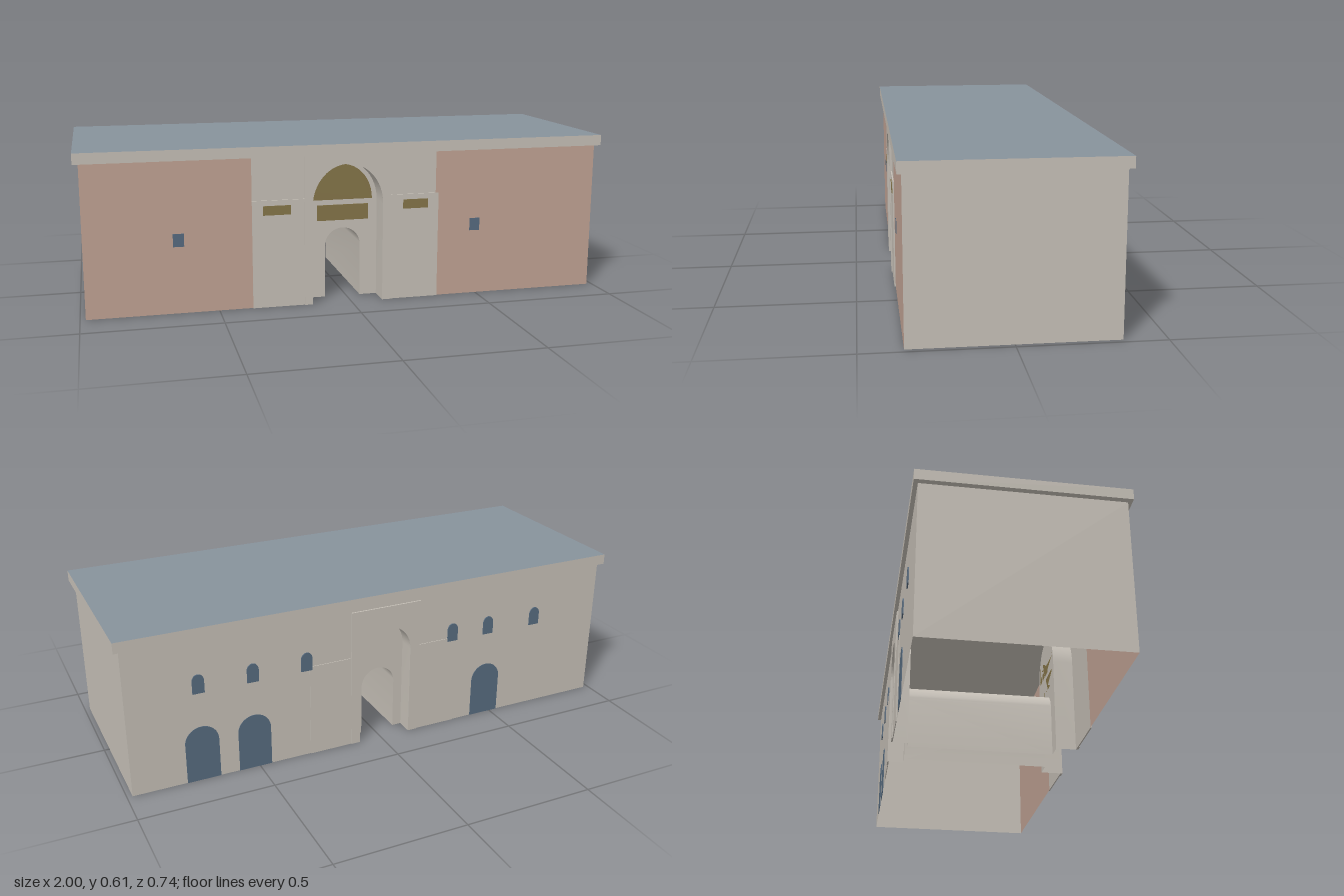
import * as THREE from 'three';
import { toCreasedNormals } from 'three/addons/utils/BufferGeometryUtils.js';

const mat = (name, color) =>
  new THREE.MeshStandardMaterial({ name, color, side: THREE.DoubleSide });

export function createModel() {
  const stone = mat('stone', 0xc4beb5);
  const terracotta = mat('terracotta', 0xbfa192);
  const gold = mat('gold', 0x847448);
  const glass = mat('blue glass', 0x566a7e);
  const slate = mat('slate', 0x87929b);

  const model = new THREE.Group();
  model.name = 'gatehouse';
  const add = (name, geometry, material, x = 0, y = 0, z = 0) => {
    const mesh = new THREE.Mesh(geometry, material);
    mesh.name = name;
    mesh.position.set(x, y, z);
    model.add(mesh);
    return mesh;
  };

  const H = 0.565, HX = 0.98, Z = 0.353, CX = -0.015;

  // Arch outline, from the left foot over the crown to the right foot
  const arch = (cx, r, spring, top, base = 0, n = 24) => {
    const pts = base < spring ? [new THREE.Vector2(cx - r, base)] : [];
    for (let i = 0; i <= n; i++) {
      const a = Math.PI * (1 - i / n);
      pts.push(new THREE.Vector2(cx + r * Math.cos(a), spring + (top - spring) * Math.sin(a)));
    }
    if (base < spring) pts.push(new THREE.Vector2(cx + r, base));
    return pts;
  };
  // Wall outline with an arch cut up from the ground
  const archedWall = (x0, x1, top, opening) => new THREE.Shape([
    new THREE.Vector2(x0, 0), ...opening,
    new THREE.Vector2(x1, 0), new THREE.Vector2(x1, top), new THREE.Vector2(x0, top),
  ]);
  // Open surface sweeping an arch outline from z0 to z1
  const reveal = (pts, z0, z1) => {
    const pos = [], idx = [];
    pts.forEach((p, i) => {
      pos.push(p.x, p.y, z0, p.x, p.y, z1);
      if (i) {
        const a = 2 * (i - 1);
        idx.push(a, a + 1, a + 2, a + 1, a + 3, a + 2);
      }
    });
    const g = new THREE.BufferGeometry();
    g.setAttribute('position', new THREE.Float32BufferAttribute(pos, 3));
    g.setIndex(idx);
    g.computeVertexNormals();
    return toCreasedNormals(g, 0.6);
  };
  const sheet = (name, shape, material, z) =>
    add(name, new THREE.ShapeGeometry(shape), material, 0, 0, z);
  const plate = (name, shape, material, z, depth) =>
    add(name, new THREE.ExtrudeGeometry(shape, { depth, bevelEnabled: false }), material, 0, 0, z);
  // Box given by its limits
  const block = (name, material, x0, x1, y0, y1, z0, z1) =>
    add(name, new THREE.BoxGeometry(x1 - x0, y1 - y0, z1 - z0), material,
      (x0 + x1) / 2, (y0 + y1) / 2, (z0 + z1) / 2);
  const rect = (x0, x1, y0, y1) => new THREE.Shape([
    new THREE.Vector2(x0, y0), new THREE.Vector2(x1, y0),
    new THREE.Vector2(x1, y1), new THREE.Vector2(x0, y1),
  ]);

  const frontNiche = arch(CX, 0.135, 0.375, 0.53);
  const backNiche = arch(CX, 0.105, 0.36, 0.466);
  const passage = arch(CX, 0.069, 0.2, 0.27);
  const FZ = 0.275, BZ = -0.295; // niche back walls

  // Outer walls, open underneath
  for (const s of [-1, 1]) {
    add('endWall', new THREE.PlaneGeometry(2 * Z, H), stone, s * HX, H / 2, 0)
      .rotation.y = s * Math.PI / 2;
  }
  sheet('frontWallRight', rect(-HX, -0.375, 0, H), terracotta, Z);
  sheet('frontWallLeft', rect(0.33, HX, 0, H), terracotta, Z);
  sheet('frontWallCentre', archedWall(-0.375, 0.33, H, frontNiche), stone, Z);
  sheet('backWall', archedWall(-HX, HX, H, backNiche), stone, -Z);

  // Roof slab: slate on top, stone edges
  add('roof', new THREE.BoxGeometry(2, 0.04, 0.736),
    [stone, stone, slate, stone, stone, stone], 0, 0.585, 0);

  // Front portal with its side panels
  plate('frontPortal', archedWall(-0.18, 0.15, H, frontNiche), stone, Z, 0.009);
  block('frontPanelRight', stone, -0.375, -0.18, 0, 0.405, Z, 0.358);
  block('frontPanelLeft', stone, 0.15, 0.34, 0, 0.405, Z, 0.358);
  add('frontNicheReveal', reveal(frontNiche, FZ, Z), stone);
  sheet('frontNicheWall', archedWallInside(frontNiche, passage), stone, FZ);

  // Back portal with its side panels
  plate('backPortal', archedWall(-0.16, 0.127, 0.548, backNiche), stone, -0.359, 0.006);
  block('backPanelRight', stone, -0.325, -0.16, 0, 0.365, -0.356, -Z);
  block('backPanelLeft', stone, 0.127, 0.295, 0, 0.365, -0.356, -Z);
  add('backNicheReveal', reveal(backNiche, -Z, BZ), stone);
  sheet('backNicheWall', archedWallInside(backNiche, passage), stone, BZ);

  // Vaulted passage through the building
  add('passage', reveal(passage, BZ, FZ), stone);

  // Gold ornaments
  plate('lunette', new THREE.Shape(arch(CX, 0.115, 0.38, 0.515, 0.38)), gold, FZ, 0.003);
  plate('friezePanel', rect(-0.115, 0.085, 0.3, 0.36), gold, FZ, 0.003);
  plate('plaqueRight', rect(-0.335, -0.232, 0.35, 0.385), gold, 0.358, 0.002);
  plate('plaqueLeft', rect(0.2, 0.298, 0.35, 0.385), gold, 0.358, 0.002);

  // Front windows
  for (const x of [-0.643, 0.49]) {
    plate('frontWindow', rect(x - 0.02, x + 0.02, 0.25, 0.298), glass, Z, 0.002);
  }
  // Back upper windows and tall arched openings
  for (const x of [0.717, 0.515, 0.307, -0.307, -0.468, -0.685]) {
    plate('backWindow', new THREE.Shape(arch(x, 0.022, 0.4, 0.425, 0.352, 12)), glass, -0.3575, 0.0045);
  }
  for (const x of [0.715, 0.516, -0.47]) {
    plate('backDoor', new THREE.Shape(arch(x, 0.063, 0.155, 0.218)), glass, -0.355, 0.002);
  }
  return model;
}

// Niche outline with the passage arch cut out of its foot
function archedWallInside(outer, inner) {
  return new THREE.Shape([...outer, ...[...inner].reverse()]);
}
